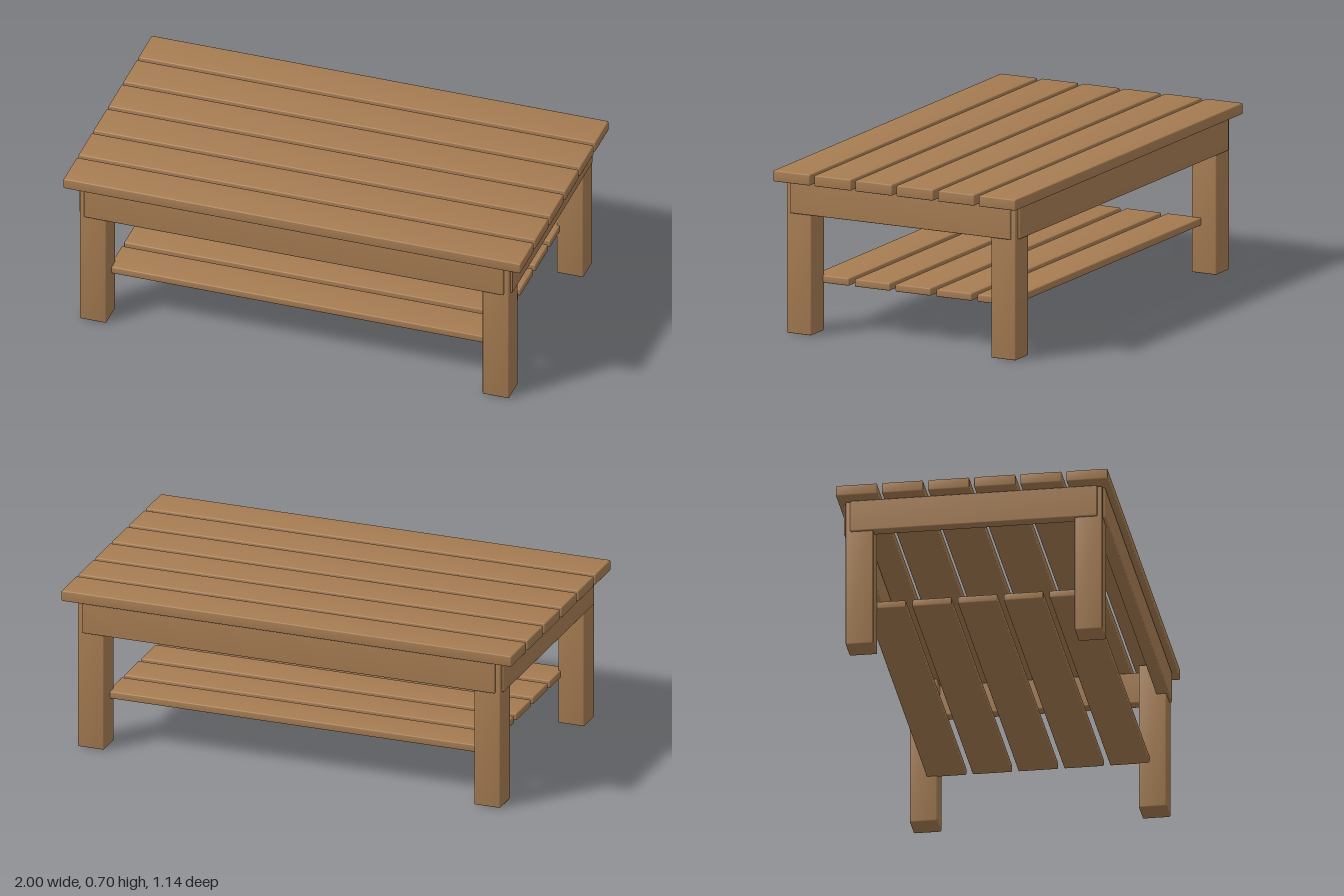
import * as THREE from 'three';
import { RoundedBoxGeometry } from 'three/addons/geometries/RoundedBoxGeometry.js';

const wood = new THREE.MeshStandardMaterial({ color: 0xa67c52 });
wood.name = 'warm wood';

// Timber with slightly eased edges; normals lean a little toward the corners
function timber(name, [w, h, d], [x, y, z], lean = 0.12) {
  const geometry = new RoundedBoxGeometry(w, h, d, 1, 0.005);
  const p = geometry.attributes.position;
  const n = geometry.attributes.normal;
  const v = new THREE.Vector3();
  for (let i = 0; i < p.count; i++) {
    v.fromBufferAttribute(n, i);
    v.x += lean * Math.sign(p.getX(i));
    v.y += lean * Math.sign(p.getY(i));
    v.z += lean * Math.sign(p.getZ(i));
    v.normalize();
    n.setXYZ(i, v.x, v.y, v.z);
  }
  const mesh = new THREE.Mesh(geometry, wood);
  mesh.name = name;
  mesh.position.set(x, y, z);
  return mesh;
}

export function createModel() {
  const table = new THREE.Group();
  table.name = 'slattedTable';

  // Six table top planks
  for (let i = 0; i < 6; i++) {
    table.add(timber('topPlank', [2, 0.047, 0.173], [0, 0.6765, (i - 2.5) * 0.1933]));
  }

  // Five lower shelf slats, running between the legs
  for (let i = -2; i <= 2; i++) {
    table.add(timber('shelfSlat', [1.67, 0.032, 0.166], [0, 0.2195, i * 0.192]));
  }

  // Square legs and the aprons overlapping their outer faces
  for (const s of [-1, 1]) {
    for (const t of [-1, 1]) {
      table.add(timber('leg', [0.116, 0.65, 0.116], [s * 0.881, 0.325, t * 0.48]));
    }
    table.add(timber('longApron', [1.836, 0.138, 0.053], [0, 0.582, s * 0.5215], 0.04));
    table.add(timber('endApron', [0.053, 0.138, 1.036], [s * 0.9215, 0.582, 0], 0.04));
  }
  return table;
}
